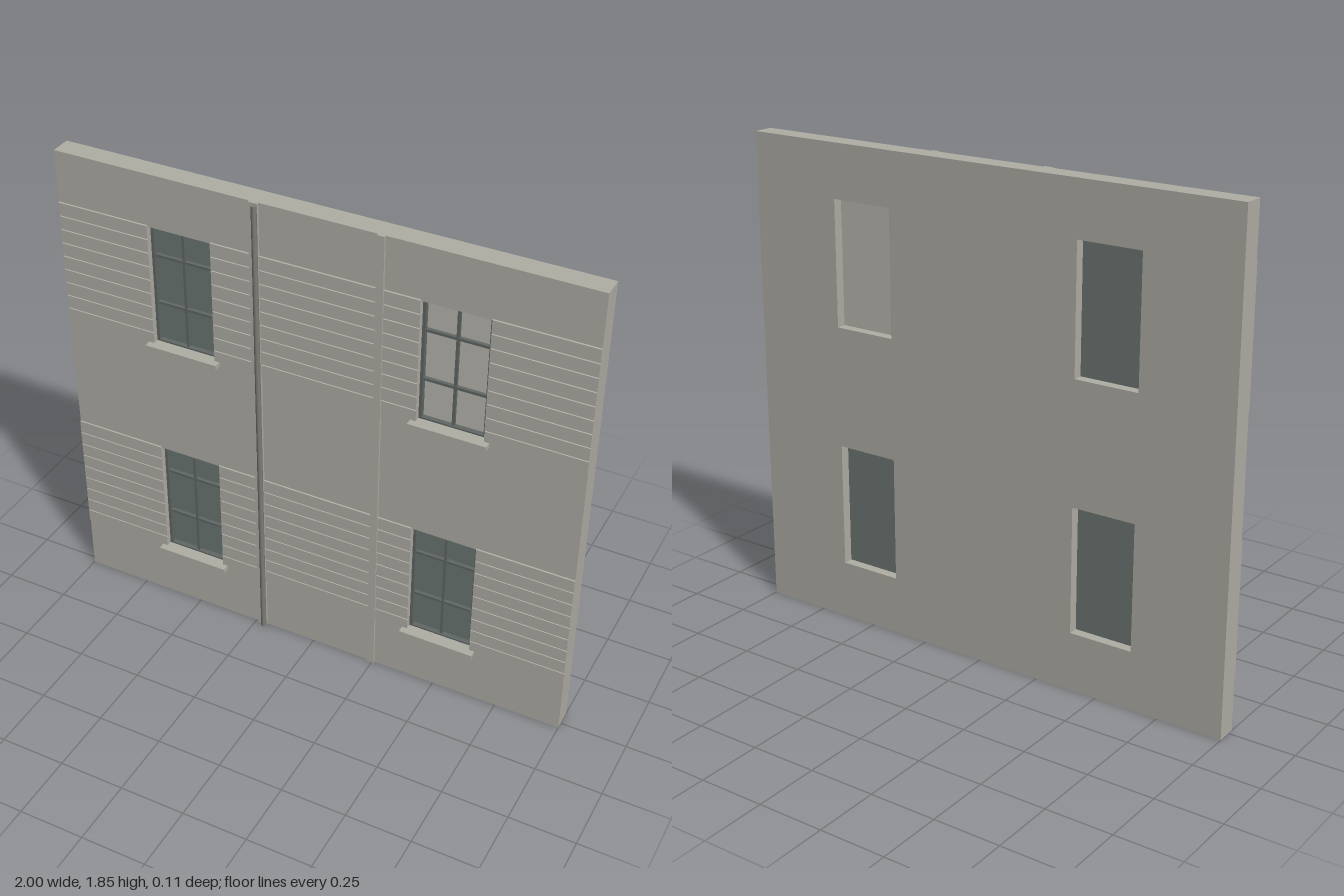
import * as THREE from 'three';

const paint = (name, color) => {
  const m = new THREE.MeshStandardMaterial({ color });
  m.name = name;
  return m;
};

export function createModel() {
  const model = new THREE.Group();
  model.name = 'facade';
  const stone = paint('warm grey wall', 0xb0aea5);
  const glass = paint('dark glass', 0x6c7674);
  const pale = paint('pale pane', 0xbab8b0);
  const frameMat = paint('window frame', 0x616866);
  const pipeMat = paint('drainpipe grey', 0x7d7d77);

  const H = 1.85, BACK = -0.055, FRONT = 0.024;

  const add = (name, geometry, material, parent = model) => {
    const mesh = new THREE.Mesh(geometry, material);
    mesh.name = name;
    parent.add(mesh);
    return mesh;
  };
  // Box given by its limits on each axis
  const block = (name, mat, x0, x1, y0, y1, z0, z1, parent) => {
    const mesh = add(name, new THREE.BoxGeometry(x1 - x0, y1 - y0, z1 - z0), mat, parent);
    mesh.position.set((x0 + x1) / 2, (y0 + y1) / 2, (z0 + z1) / 2);
    return mesh;
  };
  const rectangle = (Type, x0, x1, y0, y1) => new Type([
    new THREE.Vector2(x0, y0), new THREE.Vector2(x1, y0),
    new THREE.Vector2(x1, y1), new THREE.Vector2(x0, y1),
  ]);

  const windows = [
    { x: -0.515, y: 0.225, pane: glass }, { x: 0.512, y: 0.225, pane: glass },
    { x: -0.515, y: 1.168, pane: glass }, { x: 0.512, y: 1.168, pane: pale },
  ];
  const HW = 0.124, WH = 0.478;

  // Wall slab with four openings
  const wall = rectangle(THREE.Shape, -1, 1, 0, H);
  for (const { x, y } of windows) {
    wall.holes.push(rectangle(THREE.Path, x - HW, x + HW, y, y + WH));
  }
  const slab = new THREE.ExtrudeGeometry(wall, { depth: FRONT - BACK, bevelEnabled: false });
  slab.translate(0, 0, BACK);
  add('wall', slab, stone);

  // Windows: pane, frame, glazing bars and sill
  for (const { x, y, pane } of windows) {
    const g = new THREE.Group();
    g.name = 'window';
    g.position.set(x, y, 0);
    model.add(g);
    block('pane', pane, -HW, HW, 0, WH, -0.018, -0.012, g);

    const border = rectangle(THREE.Shape, -HW, HW, 0, WH);
    border.holes.push(rectangle(THREE.Path, -HW + 0.011, HW - 0.011, 0.011, WH - 0.011));
    const rim = new THREE.ExtrudeGeometry(border, { depth: 0.018, bevelEnabled: false });
    rim.translate(0, 0, -0.012);
    add('frame', rim, frameMat, g);

    block('verticalBar', frameMat, -0.005, 0.005, 0.01, WH - 0.01, -0.012, 0, g);
    for (const h of [0.164, 0.356]) {
      block('crossBar', frameMat, -HW + 0.01, HW - 0.01, h - 0.005, h + 0.005, -0.012, 0.001, g);
    }
    block('sill', stone, -0.144, 0.144, -0.013, 0.005, 0, 0.055, g);
  }

  // Shallow grooved courses in a band beside each row of windows
  const spans = [[-1, -0.639], [-0.391, -0.238], [-0.202, 0.23], [0.258, 0.388], [0.636, 1]];
  const courses = 9;
  for (const [bottom, top] of [[0.22, 0.708], [1.163, 1.652]]) {
    const step = (top - bottom) / courses;
    const profile = new THREE.Shape();
    profile.moveTo(FRONT - 0.002, bottom);
    for (let i = 0; i < courses; i++) {
      const y = bottom + i * step;
      profile.lineTo(FRONT + 0.004, y + 0.001);
      profile.lineTo(FRONT + 0.004, y + step - 0.003);
      profile.lineTo(FRONT + 0.001, y + step - 0.001);
    }
    profile.lineTo(FRONT - 0.002, top);
    for (const [x0, x1] of spans) {
      const geo = new THREE.ExtrudeGeometry(profile, { depth: x1 - x0, bevelEnabled: false });
      geo.rotateY(-Math.PI / 2);
      geo.translate(x1, 0, 0);
      add('coursedBand', geo, stone);
    }
  }

  // Two flat pilasters and the drainpipe
  block('pilaster', stone, -0.238, -0.202, 0, H, FRONT - 0.002, 0.033);
  block('pilaster', stone, 0.23, 0.258, 0, H, FRONT - 0.002, 0.033);
  const pipe = add('drainpipe', new THREE.CylinderGeometry(0.01, 0.01, H - 0.01, 12), pipeMat);
  pipe.position.set(-0.21, H / 2, 0.041);

  return model;
}
